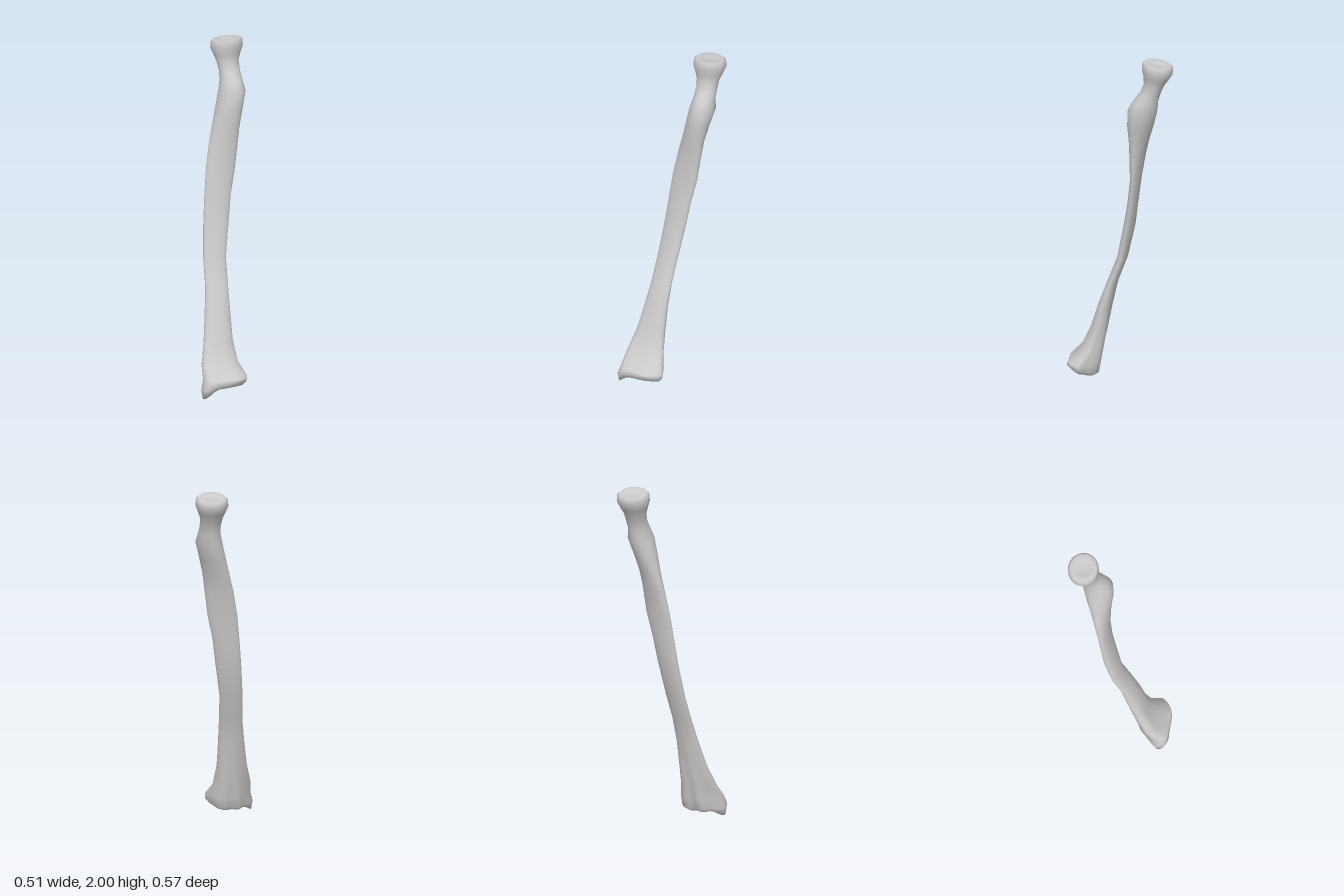
import * as THREE from 'three';

// Cross-sections from top to bottom:
// y, xMin, xMax, zMin, zMax, skew, distal blend, front-back tilt, side-tip drop
const SECTIONS = {
  head: [
    [1.976, 0.16, 0.16, -0.2, -0.2],
    [1.979, 0.11, 0.215, -0.25, -0.15, 0, 0, 0.006],
    [1.988, 0.083, 0.24, -0.275, -0.125, 0, 0, 0.012],
    [1.975, 0.07, 0.255, -0.287, -0.113, 0, 0, 0.012],
    [1.94, 0.067, 0.257, -0.286, -0.11, 0, 0, 0.012],
    [1.9, 0.08, 0.24, -0.262, -0.12, 0, 0, 0.008],
  ],
  neck: [
    [1.86, 0.092, 0.222, -0.24, -0.122],
    [1.81, 0.095, 0.216, -0.218, -0.1],
  ],
  tuberosity: [
    [1.76, 0.088, 0.212, -0.205, -0.06],
    [1.7, 0.07, 0.22, -0.2, -0.03],
    [1.6, 0.048, 0.19, -0.185, -0.03, 0.15],
  ],
  shaft: [
    [1.5, 0.025, 0.165, -0.165, -0.04, 0.4],
    [1.4, 0, 0.15, -0.15, -0.045, 0.6],
    [1.25, -0.03, 0.13, -0.13, -0.05, 0.7],
    [1.1, -0.05, 0.095, -0.115, -0.04, 0.65],
    [0.95, -0.068, 0.07, -0.1, -0.02, 0.6],
    [0.75, -0.095, 0.032, -0.06, 0.01, 0.5],
    [0.6, -0.115, 0.012, -0.008, 0.064, 0.5],
    [0.45, -0.145, 0, 0.023, 0.115, 0.4, 0.1],
  ],
  distalEnd: [
    [0.3, -0.18, -0.005, 0.05, 0.155, 0.2, 0.45],
    [0.18, -0.222, 0, 0.075, 0.205, 0.1, 0.85],
    [0.11, -0.24, 0.018, 0.088, 0.285, 0, 1],
    [0.065, -0.258, 0.015, 0.1, 0.288, 0, 1, 0.025, 0.015],
    [0.045, -0.25, -0.005, 0.125, 0.265, 0, 1, 0.02, 0.044],
    [0.07, -0.19, -0.05, 0.16, 0.235, 0, 1, 0.005],
    [0.08, -0.12, -0.12, 0.2, 0.2],
  ],
};

// Outline of the flared lower end, scaled to -1..1
const DISTAL = new THREE.CatmullRomCurve3([
  [0.93, 0.1], [1, 0.5], [0.8, 0.8], [0.4, 1], [0, 0.9], [-0.4, 0.75], [-0.8, 0.6], [-0.95, 0.4],
  [-1, 0.05], [-0.95, -0.2], [-0.7, -0.5], [-0.4, -0.75], [-0.1, -1], [0.2, -0.85], [0.5, -0.9], [0.8, -0.55],
].map(([x, z]) => new THREE.Vector3(x, 0, z)), true);

const SIDES = 32;

// One ring: a skewed ellipse blended towards the flared outline
function ring([y, x0, x1, z0, z1, skew = 0, blend = 0, tilt = 0, drop = 0]) {
  const points = [];
  for (let i = 0; i < SIDES; i++) {
    const t = (i / SIDES) * Math.PI * 2;
    const flared = DISTAL.getPoint(i / SIDES);
    const u = THREE.MathUtils.lerp(Math.cos(t), flared.x, blend);
    const v = THREE.MathUtils.lerp(Math.sin(t + skew), flared.z, blend);
    points.push(
      (x0 + x1) / 2 + (u * (x1 - x0)) / 2,
      y + tilt * v - drop * Math.max(0, -u * 2 - 1),
      (z0 + z1) / 2 + (v * (z1 - z0)) / 2,
    );
  }
  return points;
}

// Skin all rings into one smooth closed surface
function loft(sections) {
  const index = [];
  for (let r = 0; r < sections.length - 1; r++) {
    for (let i = 0; i < SIDES; i++) {
      const j = (i + 1) % SIDES;
      const a = r * SIDES + i, b = r * SIDES + j;
      const c = a + SIDES, d = b + SIDES;
      if (r < sections.length - 2) index.push(a, b, c);
      if (r > 0) index.push(b, d, c);
      else index.push(a, d, c);
      if (r === sections.length - 2) index.push(a, b, c);
    }
  }
  const geometry = new THREE.BufferGeometry();
  geometry.setAttribute('position', new THREE.Float32BufferAttribute(sections.flatMap(ring), 3));
  geometry.setIndex(index);
  geometry.computeVertexNormals();
  return geometry;
}

export function createModel() {
  const group = new THREE.Group();
  group.name = 'forearmBone';
  const bone = new THREE.Mesh(
    loft(Object.values(SECTIONS).flat()),
    new THREE.MeshStandardMaterial({ color: 0xcccccc }),
  );
  bone.name = 'boneHeadShaftAndDistalEnd';
  group.add(bone);
  return group;
}
